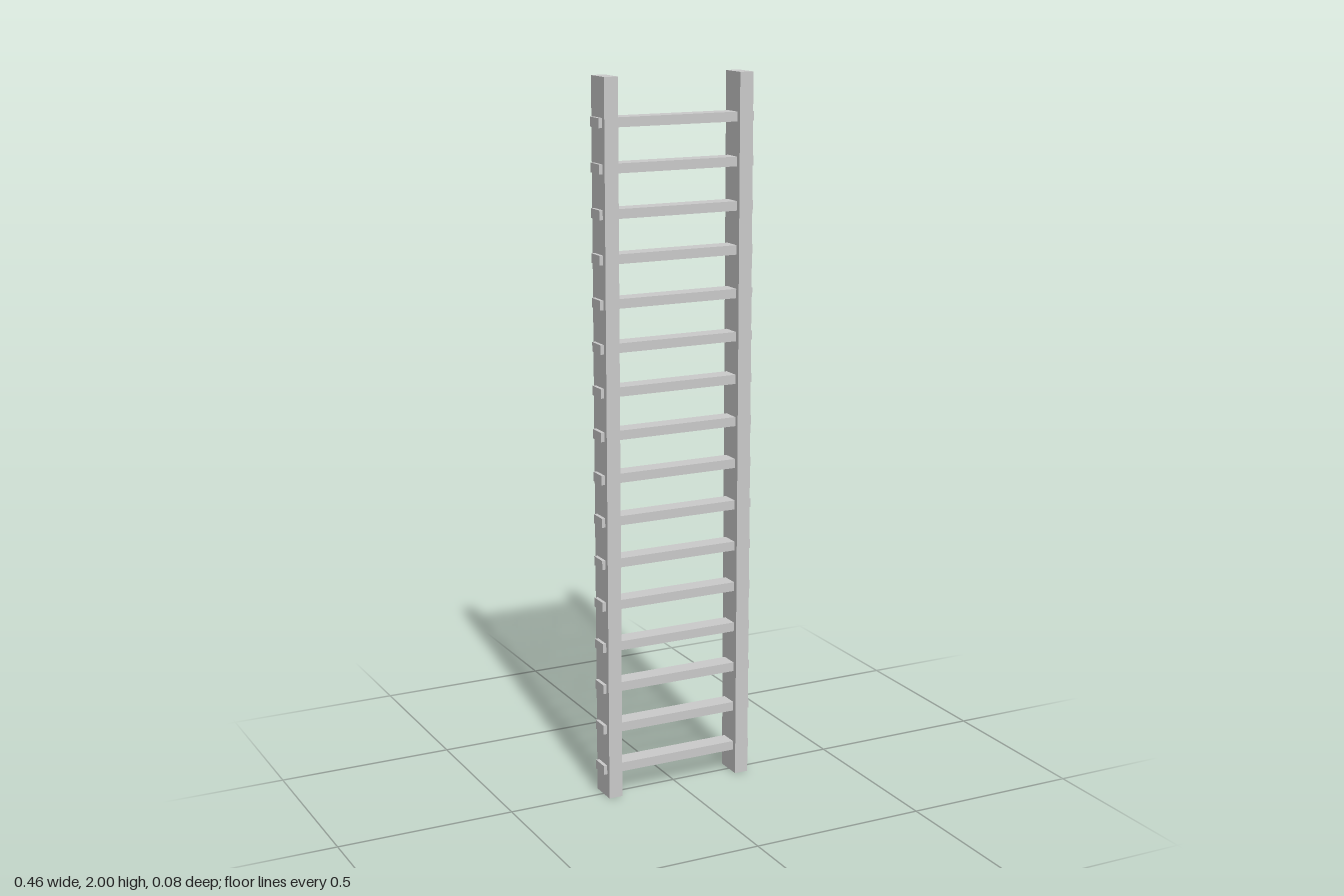
import * as THREE from 'three';

export function createModel() {
  const group = new THREE.Group();
  group.name = 'ladder';
  const material = new THREE.MeshStandardMaterial({ color: 0xcccccc });

  // Upright side rails
  const railGeometry = new THREE.BoxGeometry(0.04, 2, 0.08);
  for (const [name, side] of [['leftRail', 1], ['rightRail', -1]]) {
    const rail = new THREE.Mesh(railGeometry, material);
    rail.name = name;
    rail.position.set(side * 0.2, 1, 0);
    group.add(rail);
  }

  // Rungs pass through the rails, their ends standing slightly proud
  const rungGeometry = new THREE.BoxGeometry(0.46, 0.026, 0.052);
  for (let i = 0; i < 16; i++) {
    const rung = new THREE.Mesh(rungGeometry, material);
    rung.name = `rung${i + 1}`;
    rung.position.y = 0.081 + i * 0.12;
    group.add(rung);
  }
  return group;
}
